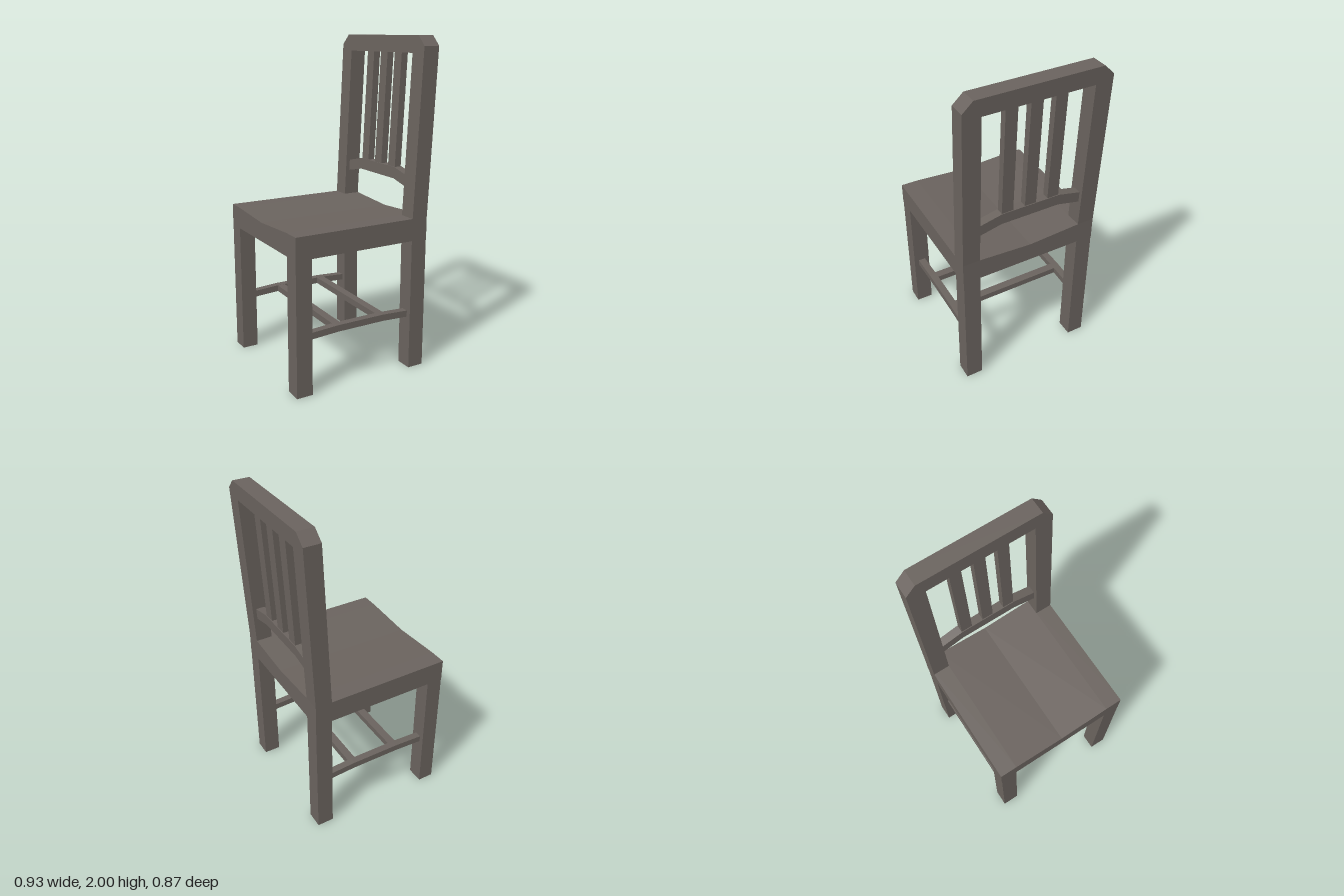
import * as THREE from 'three';

// Outline given as [z, y] points, extruded along x from x0 to x1
function extrudeX(points, x0, x1, hole) {
  const shape = new THREE.Shape(points.map(([z, y]) => new THREE.Vector2(z, y)));
  if (hole) shape.holes.push(new THREE.Path(hole.map(([z, y]) => new THREE.Vector2(z, y))));
  const geo = new THREE.ExtrudeGeometry(shape, { depth: x1 - x0, bevelEnabled: false });
  return geo.rotateY(-Math.PI / 2).translate(x1, 0, 0);
}

// Tilts the backrest away from the seat
const SEAT_TOP = 0.95;
function lean(geo) {
  const p = geo.attributes.position;
  for (let i = 0; i < p.count; i++) {
    p.setX(i, p.getX(i) + (0.05 * (p.getY(i) - SEAT_TOP)) / 1.05);
  }
  geo.computeVertexNormals();
  return geo;
}

function box(x0, x1, y0, y1, z0, z1) {
  return new THREE.BoxGeometry(x1 - x0, y1 - y0, z1 - z0)
    .translate((x0 + x1) / 2, (y0 + y1) / 2, (z0 + z1) / 2);
}

export function createModel() {
  const chair = new THREE.Group();
  chair.name = 'chair';
  const wood = new THREE.MeshStandardMaterial({ color: 0x6a635e });
  wood.name = 'dark wood';

  const add = (name, geo) => {
    const mesh = new THREE.Mesh(geo, wood);
    mesh.name = name;
    chair.add(mesh);
  };

  // Seat with a shallow dip along its middle
  add('seat', extrudeX([
    [-0.437, 0.815], [0.437, 0.815], [0.437, SEAT_TOP], [0.33, SEAT_TOP],
    [0, 0.93], [-0.33, SEAT_TOP], [-0.437, SEAT_TOP],
  ], -0.465, 0.41));

  // Legs and side stretchers, mirrored
  for (const side of [-1, 1]) {
    const [z0, z1] = side > 0 ? [0.33, 0.435] : [-0.435, -0.33];
    add('frontLeg', box(-0.465, -0.365, 0, 0.815, z0, z1));
    add('rearLeg', box(0.307, 0.41, 0, 0.815, z0, z1));

    // Slightly arched bar between front and rear leg
    const arch = new THREE.Shape([
      [-0.37, 0.325], [-0.18, 0.335], [0.13, 0.335], [0.31, 0.325],
      [0.31, 0.365], [0.13, 0.375], [-0.18, 0.375], [-0.37, 0.365],
    ].map(([x, y]) => new THREE.Vector2(x, y)));
    const bar = new THREE.ExtrudeGeometry(arch, { depth: 0.045, bevelEnabled: false });
    add('sideStretcher', bar.translate(0, 0, side * 0.382 - 0.0225));
  }

  // Cross stretchers joining the side bars
  for (const x of [-0.17, 0.13]) {
    add('crossStretcher', box(x - 0.025, x + 0.025, 0.335, 0.374, -0.365, 0.365));
  }

  // Backrest posts and top rail with clipped corners
  add('backFrame', lean(extrudeX([
    [0.437, SEAT_TOP], [0.437, 1.94], [0.375, 2], [-0.375, 2], [-0.437, 1.94],
    [-0.437, SEAT_TOP], [-0.33, SEAT_TOP], [-0.33, 1.9], [0.33, 1.9], [0.33, SEAT_TOP],
  ], 0.307, 0.41)));

  // Lower back rail with dropped ends
  add('backRail', lean(extrudeX([
    [-0.335, 1.11], [-0.185, 1.145], [0.185, 1.145], [0.335, 1.11],
    [0.335, 1.18], [0.185, 1.215], [-0.185, 1.215], [-0.335, 1.18],
  ], 0.333, 0.387)));

  // Upright slats
  for (const z of [-0.147, 0, 0.147]) {
    add('backSlat', lean(box(0.338, 0.382, 1.2, 1.91, z - 0.036, z + 0.036)));
  }

  return chair;
}
